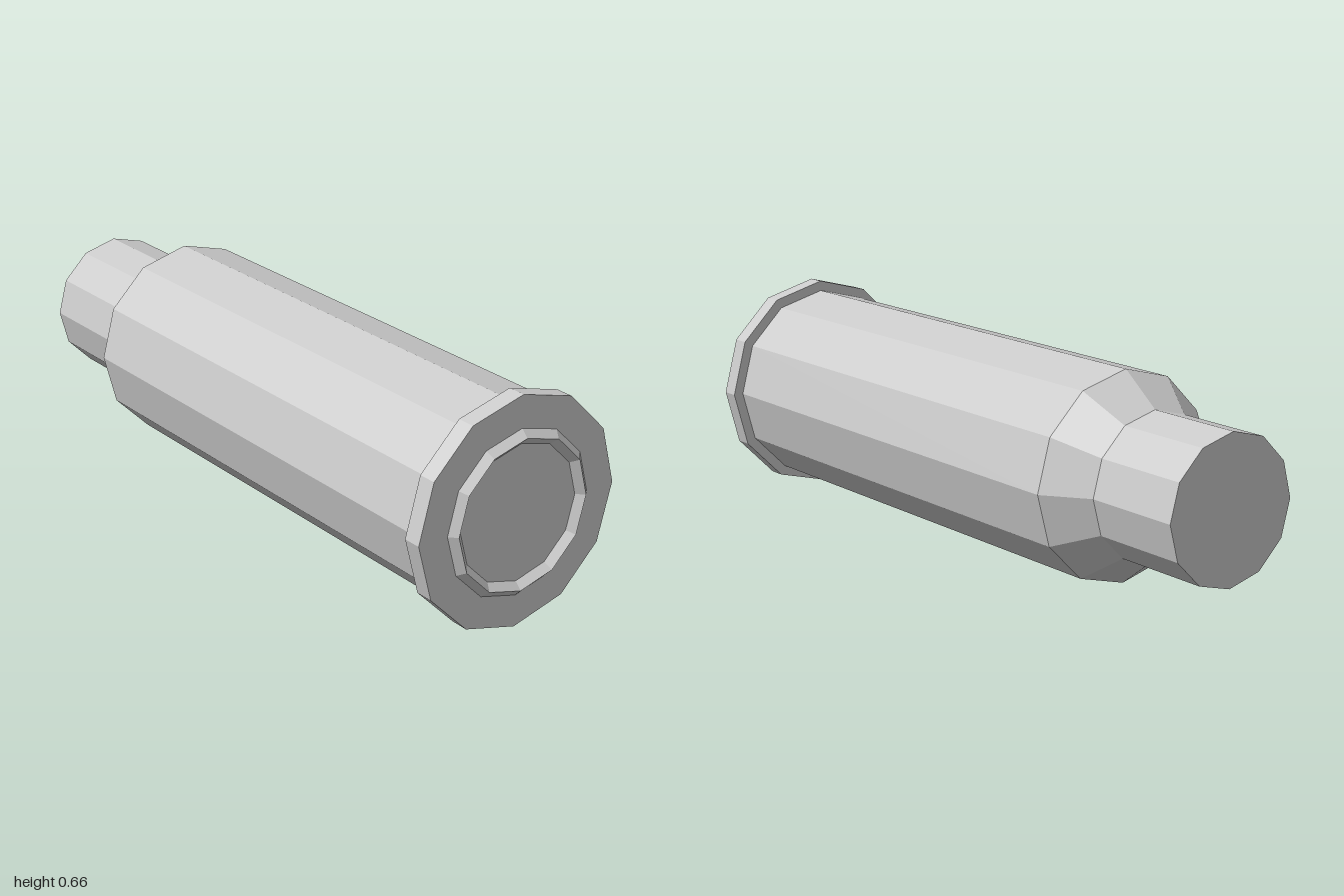
import * as THREE from 'three';

const SIDES = 12;
const AXIS_Y = 0.331;

export function createModel() {
  const group = new THREE.Group();
  group.name = 'cartridge';
  const material = new THREE.MeshStandardMaterial({ color: 0xcccccc, flatShading: true });

  const add = (name, geometry, z) => {
    const mesh = new THREE.Mesh(geometry, material);
    mesh.name = name;
    mesh.position.set(0, AXIS_Y, z);
    group.add(mesh);
  };

  // Twelve-sided section along z, from the back radius to the front radius
  const section = (name, backZ, frontZ, backR, frontR, open = false) => {
    const geometry = new THREE.CylinderGeometry(frontR, backR, frontZ - backZ, SIDES, 1, open);
    geometry.rotateX(Math.PI / 2);
    add(name, geometry, (backZ + frontZ) / 2);
  };

  section('neck', -1, -0.7, 0.21, 0.21);
  section('shoulder', -0.7, -0.58, 0.21, 0.3, true);
  section('body', -0.58, 0.925, 0.3, 0.3, true);
  section('rim', 0.925, 0.979, 0.331, 0.331);

  // Raised ridge on the rim face, with a four-sided diamond section
  add('primerRing', new THREE.TorusGeometry(0.217, 0.0215, 4, SIDES), 0.9785);

  return group;
}
